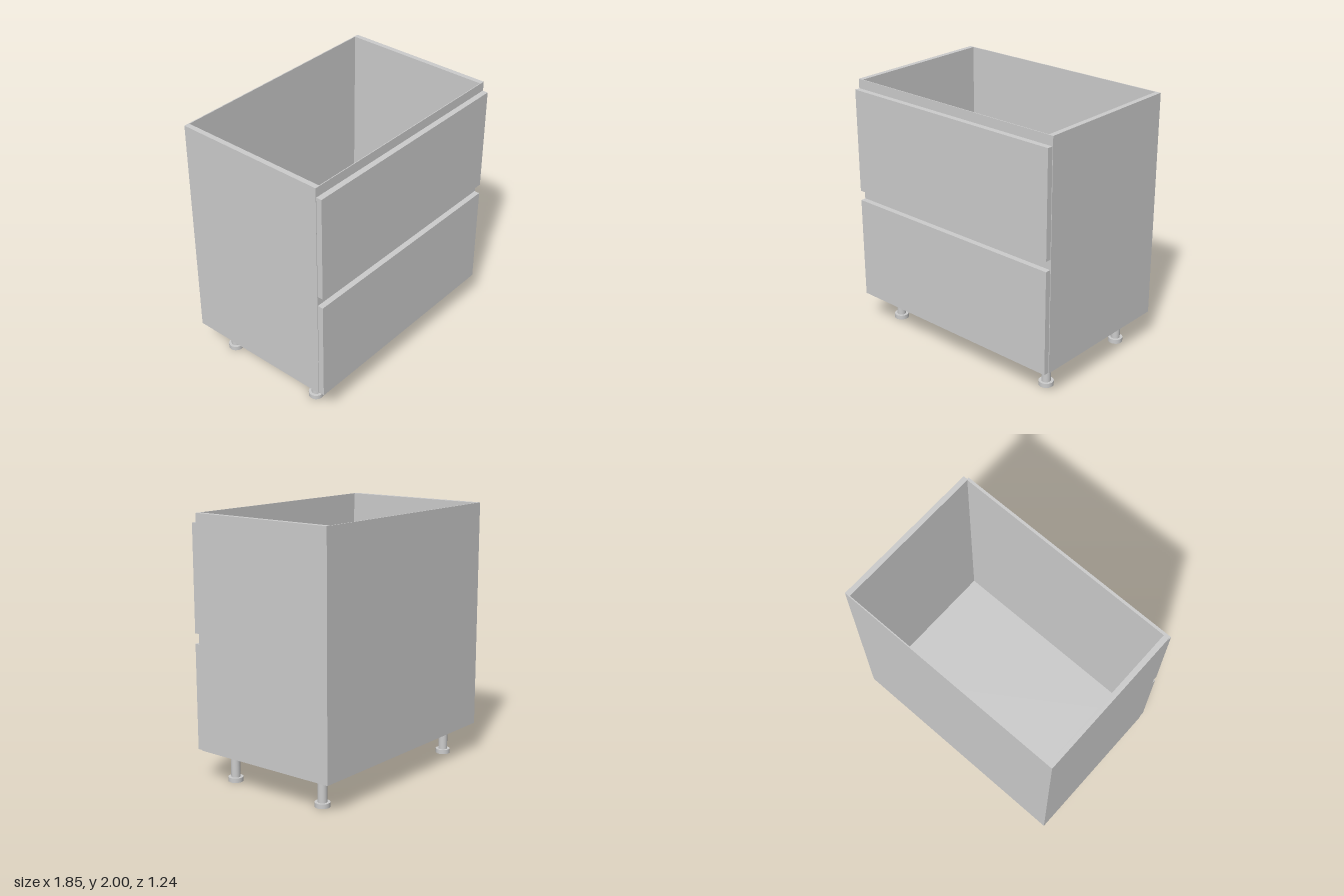
import * as THREE from 'three';

export function createModel() {
  const group = new THREE.Group();
  const mat = new THREE.MeshStandardMaterial({ color: 0xcccccc });

  // Box given by its limits on each axis
  const board = (name, [x0, x1], [y0, y1], [z0, z1]) => {
    const mesh = new THREE.Mesh(new THREE.BoxGeometry(x1 - x0, y1 - y0, z1 - z0), mat);
    mesh.position.set((x0 + x1) / 2, (y0 + y1) / 2, (z0 + z1) / 2);
    mesh.name = name;
    group.add(mesh);
  };

  // Open-topped carcass
  const bottom = 0.24, top = 2;
  board('leftSide', [0.885, 0.925], [bottom, top], [-0.612, 0.57]);
  board('rightSide', [-0.925, -0.885], [bottom, top], [-0.612, 0.57]);
  board('bottomPanel', [-0.885, 0.885], [bottom, bottom + 0.04], [-0.612, 0.57]);
  board('backPanel', [-0.925, 0.925], [bottom, top], [-0.62, -0.612]);
  board('frontPanel', [-0.925, 0.925], [bottom, top], [0.57, 0.576]);

  // Drawer fronts with a finger gap above each
  board('lowerDrawerFront', [-0.92, 0.92], [0.243, 1.045], [0.576, 0.62]);
  board('upperDrawerFront', [-0.92, 0.92], [1.123, 1.928], [0.576, 0.62]);

  // Four round legs on wider feet
  const cylinder = (name, radius, y0, y1) => {
    const mesh = new THREE.Mesh(new THREE.CylinderGeometry(radius, radius, y1 - y0, 32), mat);
    mesh.position.y = (y0 + y1) / 2;
    mesh.name = name;
    return mesh;
  };
  for (const x of [-0.757, 0.757]) {
    for (const z of [-0.437, 0.4]) {
      const leg = new THREE.Group();
      leg.name = (z > 0 ? 'front' : 'back') + (x > 0 ? 'Left' : 'Right') + 'Leg';
      leg.add(cylinder('legPost', 0.035, 0.034, bottom), cylinder('foot', 0.056, 0, 0.034));
      leg.position.set(x, 0, z);
      group.add(leg);
    }
  }
  return group;
}
